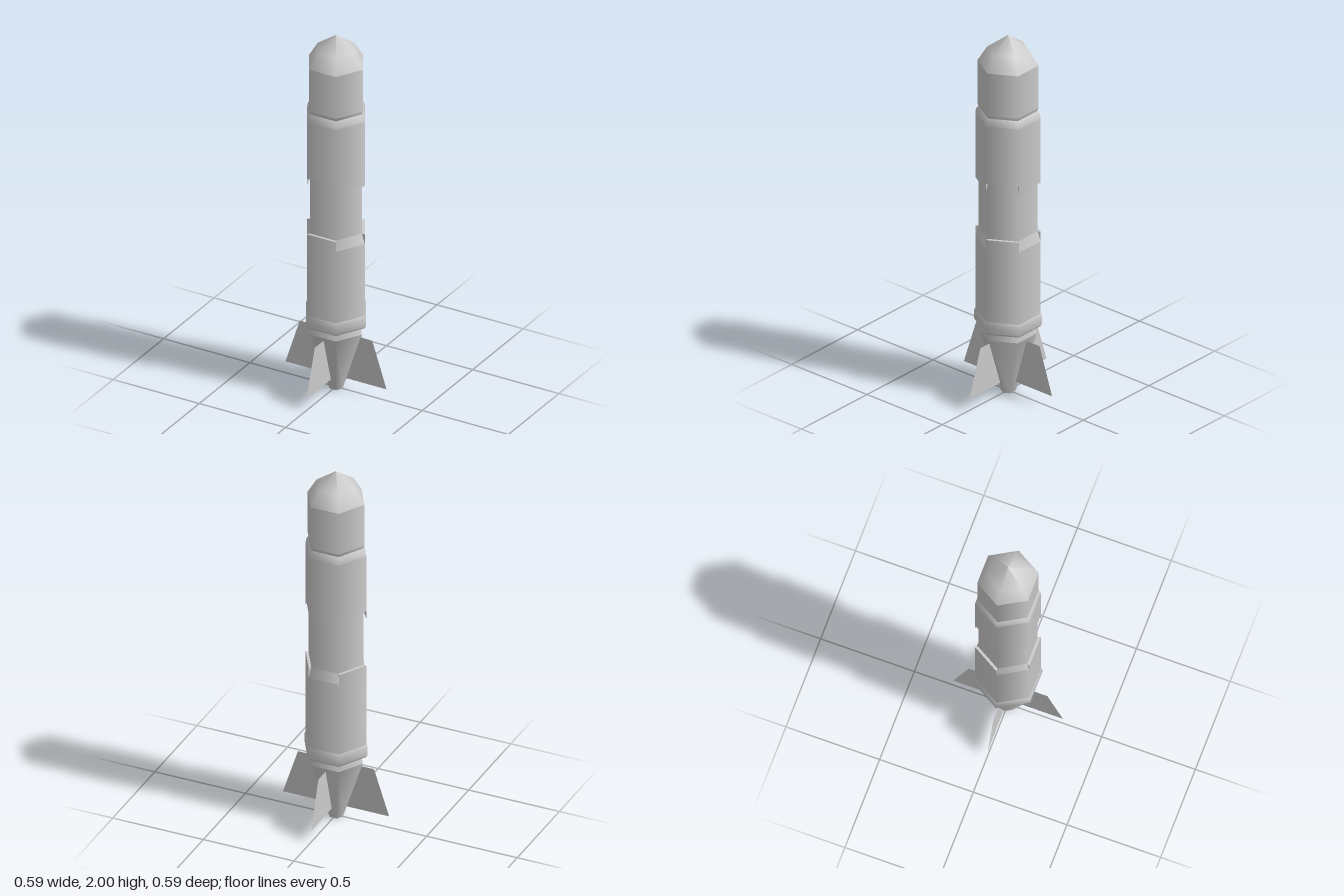
import * as THREE from 'three';

const SIDES = 6;
const STEP = Math.PI / 3;
const CORE = 0.151, HULL = 0.167;

const grey = new THREE.MeshStandardMaterial({ color: 0xcccccc });
const greyThin = new THREE.MeshStandardMaterial({ color: 0xcccccc, side: THREE.DoubleSide });

// Six-sided turned section, corners on the x axis; profile runs bottom to top as [radius, y]
function turned(name, profile, segments = SIDES, start = Math.PI / 2) {
  const points = profile.map(([r, y]) => new THREE.Vector2(r, y));
  const geometry = new THREE.LatheGeometry(points, segments, start, segments * STEP);
  const mesh = new THREE.Mesh(geometry, grey);
  mesh.name = name;
  return mesh;
}

// Flat sheet in the xy plane, turned about the vertical axis
function sheet(name, corners, angle) {
  const shape = new THREE.Shape(corners.map(([x, y]) => new THREE.Vector2(x, y)));
  const mesh = new THREE.Mesh(new THREE.ShapeGeometry(shape), greyThin);
  mesh.rotation.y = angle;
  mesh.name = name;
  return mesh;
}

// Rim with alternating square and sloping sides, between the hull and the core.
// far = hull end that every side reaches (lower rim) or only the flaps reach (upper rim)
function steppedRim(name, upper) {
  const rim = new THREE.Group();
  rim.name = name;
  const [low, high] = upper ? [1.185, 1.225] : [0.855, 0.91];
  for (let k = 0; k < SIDES; k++) {
    const start = Math.PI / 2 + k * STEP;
    const square = k % 2 === 1; // the front side lies at odd k only after mirroring below
    const add = (profile) => rim.add(turned('rimSide', profile, 1, start));
    if (upper) {
      if (square) {
        add([[CORE, high], [HULL, high]]);
      } else {
        add([[HULL, low], [HULL, high]]);
        add([[CORE, high], [HULL, low]]);
      }
    } else if (square) {
      add([[HULL, low], [HULL, high]]);
      add([[HULL, high], [CORE, high]]);
    } else {
      add([[HULL, low], [CORE, high]]);
    }
    // Small wedge closing the step at each corner
    rim.add(sheet('rimStep', [[CORE, high], [HULL, low], [HULL, high]], k * STEP));
  }
  // Half a turn of three sides puts a square side at the front
  rim.rotation.y = Math.PI;
  return rim;
}

export function createModel() {
  const rocket = new THREE.Group();
  rocket.name = 'rocket';

  // Tail cone
  rocket.add(
    turned('tailTip', [[0, 0], [0.038, 0]]),
    turned('tailCone', [[0.038, 0], [0.148, 0.335]]),
    turned('tailShoulder', [[0.148, 0.335], [0.14, 0.378]]),
  );

  // Collar and lower hull
  rocket.add(
    turned('collarUnderside', [[0.12, 0.376], [0.165, 0.376]]),
    turned('collar', [[0.165, 0.376], [0.174, 0.39], [0.174, 0.432], [HULL, 0.448]]),
    turned('lowerHull', [[HULL, 0.448], [HULL, 0.855]]),
    steppedRim('lowerRim', false),
  );

  // Recessed middle
  rocket.add(turned('core', [[CORE, 0.85], [CORE, 1.23]]));

  // Upper hull
  rocket.add(
    steppedRim('upperRim', true),
    turned('upperHull', [[HULL, 1.225], [HULL, 1.548]]),
    turned('upperShoulder', [[HULL, 1.548], [0.163, 1.57], [0.151, 1.588]]),
  );

  // Nose
  rocket.add(
    turned('noseBase', [[0.151, 1.588], [0.156, 1.605]]),
    turned('noseBody', [[0.156, 1.605], [0.156, 1.843]]),
    turned('noseCap', [[0.156, 1.843], [0.107, 1.925], [0, 2]]),
  );

  // Four thin fins
  for (let i = 0; i < 4; i++) {
    rocket.add(sheet('fin', [[0.04, 0.064], [0.293, 0.064], [0.21, 0.318], [0.1, 0.318]], i * Math.PI / 2));
  }

  return rocket;
}
